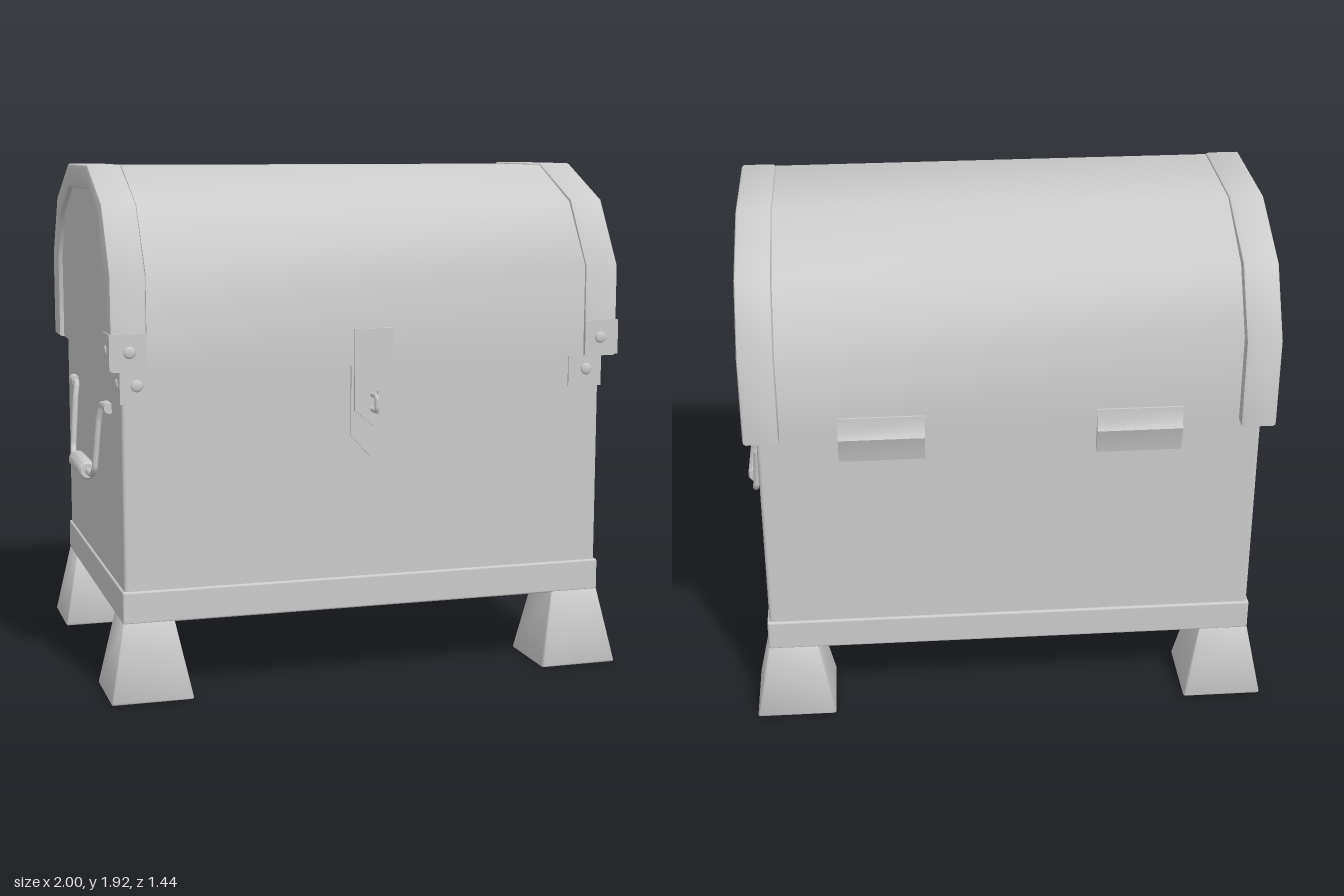
import * as THREE from 'three';
import { toCreasedNormals } from 'three/addons/utils/BufferGeometryUtils.js';
import { RoundedBoxGeometry } from 'three/addons/geometries/RoundedBoxGeometry.js';

const material = new THREE.MeshStandardMaterial({ color: 0xcccccc, side: THREE.DoubleSide });
const MID_Z = -0.015;

function add(parent, name, geometry, x = 0, y = 0, z = 0) {
  const mesh = new THREE.Mesh(geometry, material);
  mesh.name = name;
  mesh.position.set(x, y, z);
  parent.add(mesh);
  return mesh;
}

// Box given by its limits on each axis
function addBox(parent, name, [x0, x1], [y0, y1], [z0, z1]) {
  return add(parent, name, new THREE.BoxGeometry(x1 - x0, y1 - y0, z1 - z0),
    (x0 + x1) / 2, (y0 + y1) / 2, (z0 + z1) / 2);
}

// Extrudes a [z, y] outline along x from x0 to x1
function extrudeX(points, x0, x1, bevel = 0) {
  const shape = new THREE.Shape(points.map(([z, y]) => new THREE.Vector2(-z, y)));
  const geometry = new THREE.ExtrudeGeometry(shape, {
    depth: x1 - x0 - 2 * bevel, bevelEnabled: bevel > 0, bevelSize: bevel,
    bevelThickness: bevel, bevelOffset: -bevel, bevelSegments: 2,
  });
  geometry.translate(0, 0, x0 + bevel).rotateY(Math.PI / 2);
  return toCreasedNormals(geometry, 0.75);
}

// Plate with a pointed lower end, optionally with a slot
function pointedPlate(halfWidth, top, shoulder, tip, slot) {
  const shape = new THREE.Shape([[-halfWidth, top], [-halfWidth, shoulder], [0, tip],
    [halfWidth, shoulder], [halfWidth, top]].map((p) => new THREE.Vector2(...p)));
  if (slot) {
    const [w, y0, y1] = slot;
    shape.holes.push(new THREE.Path([[-w, y0], [-w, y1], [w, y1], [w, y0]]
      .map((p) => new THREE.Vector2(...p))));
  }
  return new THREE.ExtrudeGeometry(shape, { depth: 0.01, bevelEnabled: false });
}

// Path of straight runs with softened corners
function roundedPath(points, radius) {
  const path = new THREE.CurvePath();
  const p = points.map((v) => new THREE.Vector3(...v));
  let start = p[0];
  for (let i = 1; i < p.length - 1; i++) {
    const a = p[i].clone().add(p[i - 1].clone().sub(p[i]).setLength(radius));
    const b = p[i].clone().add(p[i + 1].clone().sub(p[i]).setLength(radius));
    path.add(new THREE.LineCurve3(start, a));
    path.add(new THREE.QuadraticBezierCurve3(a, p[i], b));
    start = b;
  }
  path.add(new THREE.LineCurve3(start, p[p.length - 1]));
  return path;
}

// Splayed foot with soft edges: narrow at the frame, wide at the ground
function legGeometry(sx, sz) {
  const geometry = new RoundedBoxGeometry(1, 1, 1, 2, 0.03);
  const pos = geometry.attributes.position;
  const { lerp } = THREE.MathUtils;
  for (let i = 0; i < pos.count; i++) {
    const u = pos.getX(i) * sx + 0.5;
    const v = pos.getZ(i) * sz + 0.5;
    const t = pos.getY(i) + 0.5;
    const x = lerp(lerp(0.68, 0.985, u), lerp(0.74, 0.926, u), t);
    const z = lerp(lerp(0.405, 0.705, v), lerp(0.46, 0.648, v), t);
    pos.setXYZ(i, sx * x, t * 0.29, MID_Z + sz * z);
  }
  return toCreasedNormals(geometry, 0.9);
}

function buildBase() {
  const base = new THREE.Group();
  base.name = 'base';
  add(base, 'baseFrame', new RoundedBoxGeometry(1.856, 0.12, 1.3, 2, 0.008), 0, 0.34, MID_Z);
  for (const sx of [-1, 1]) {
    for (const sz of [-1, 1]) add(base, 'leg', legGeometry(sx, sz));
  }
  return base;
}

function buildLid() {
  const lid = new THREE.Group();
  lid.name = 'lid';
  const vault = [[0.668, 1.2], [0.668, 1.54], [0.512, 1.775], [0.22, 1.91], [-0.24, 1.91],
    [-0.525, 1.765], [-0.665, 1.54], [-0.665, 1.2]];
  add(lid, 'lidVault', extrudeX(vault, -0.835, 0.835));
  // Arched end bands around slightly sunken end panels
  const outer = [[0.676, 1.2], [0.676, 1.54], [0.52, 1.782], [0.22, 1.916], [-0.245, 1.916],
    [-0.555, 1.782], [-0.705, 1.54], [-0.705, 1.2]];
  const inner = [[0.54, 1.2], [0.54, 1.53], [0.44, 1.72], [0.22, 1.825], [-0.245, 1.825],
    [-0.47, 1.72], [-0.575, 1.53], [-0.575, 1.2]];
  add(lid, 'endPanels', extrudeX(inner, -0.946, 0.946));
  const band = [...outer, ...inner.reverse()];
  add(lid, 'endBand', extrudeX(band, 0.835, 0.966, 0.012));
  add(lid, 'endBand', extrudeX(band, -0.966, -0.835, 0.012));
  return lid;
}

// Corner bracket of two plates with a rivet on each
function buildBracket(side, [y0, y1], x, z, rivetInset, rivetY) {
  const bracket = new THREE.Group();
  bracket.name = 'cornerBracket';
  const size = 0.128;
  const t = 0.006;
  const span = (a, b) => [Math.min(side * a, side * b), Math.max(side * a, side * b)];
  addBox(bracket, 'frontPlate', span(x - size, x + t), [y0, y1], [z, z + t]);
  addBox(bracket, 'sidePlate', span(x, x + t), [y0, y1], [z - size, z + t]);
  const rivet = new THREE.SphereGeometry(0.022, 12, 8);
  add(bracket, 'frontRivet', rivet, side * (x - rivetInset), rivetY, z + t).scale.z = 0.35;
  add(bracket, 'sideRivet', rivet, side * (x + t), rivetY, z - rivetInset).scale.x = 0.35;
  return bracket;
}

function buildHandle(side) {
  const handle = new THREE.Group();
  handle.name = 'handle';
  for (const s of [-1, 1]) {
    // Bent rod from the wall mount to the grip
    const rod = [[0.935, 1.037, 0.36], [0.935, 1.037, 0.305], [0.945, 0.98, 0.288],
      [0.96, 0.785, 0.268], [0.965, 0.757, 0.235], [0.965, 0.755, 0.12]]
      .map(([x, y, z]) => [side * x, y, MID_Z + s * z]);
    add(handle, 'rod', new THREE.TubeGeometry(roundedPath(rod, 0.012), 48, 0.012, 8, false));
    const mount = new THREE.CylinderGeometry(0.02, 0.02, 0.08, 12).rotateX(Math.PI / 2);
    add(handle, 'mount', mount, side * 0.929, 1.037, MID_Z + s * 0.395);
  }
  const profile = [[0, -0.137], [0.028, -0.137], [0.035, -0.128], [0.035, 0.128], [0.028, 0.137], [0, 0.137]];
  const grip = new THREE.LatheGeometry(profile.map((p) => new THREE.Vector2(...p)), 20);
  add(handle, 'grip', toCreasedNormals(grip.rotateX(Math.PI / 2), 0.7), side * 0.965, 0.755, MID_Z);
  return handle;
}

function buildClasp() {
  const clasp = new THREE.Group();
  clasp.name = 'clasp';
  add(clasp, 'backPlate', pointedPlate(0.073, 1.19, 0.93, 0.852), 0, 0, 0.626);
  add(clasp, 'hasp', pointedPlate(0.073, 1.33, 1.03, 0.97, [0.014, 1.01, 1.1]), 0, 0, 0.672);
  // Staple loop passing through the hasp slot
  const loop = [[0, 1.085, 0.62], [0, 1.085, 0.717], [0, 1.03, 0.717], [0, 1.03, 0.62]];
  add(clasp, 'staple', new THREE.TubeGeometry(roundedPath(loop, 0.015), 36, 0.009, 8, false));
  return clasp;
}

export function createModel() {
  const chest = new THREE.Group();
  chest.name = 'chest';
  add(chest, 'body', new RoundedBoxGeometry(1.84, 0.825, 1.28, 3, 0.014), 0, 0.7975, MID_Z);
  chest.add(buildBase(), buildLid(), buildClasp());

  for (const side of [-1, 1]) {
    chest.add(buildBracket(side, [1.205, 1.335], 0.964, 0.675, 0.066, 1.27));
    chest.add(buildBracket(side, [1.08, 1.198], 0.92, 0.626, 0.055, 1.145));
    chest.add(buildHandle(side));
    // Folded leaf hinge on the back
    const leaf = [[-0.66, 1.275], [-0.672, 1.275], [-0.675, 1.215], [-0.69, 1.195],
      [-0.672, 1.14], [-0.663, 1.095], [-0.653, 1.095], [-0.66, 1.19]];
    add(chest, 'hinge', extrudeX(leaf, side * 0.47 - 0.157, side * 0.47 + 0.157));
  }
  return chest;
}
